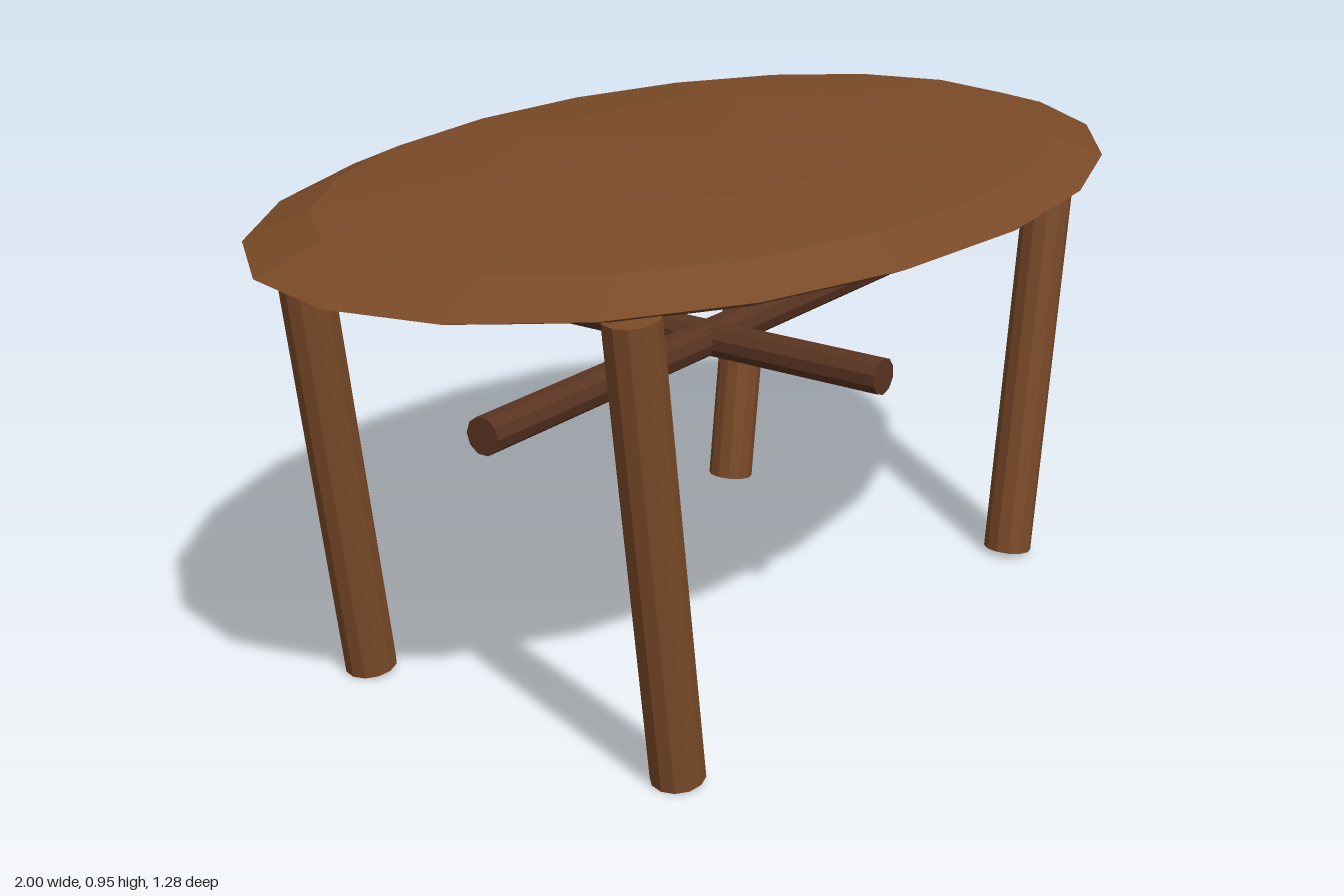
import * as THREE from 'three';

const wood = new THREE.MeshStandardMaterial({ color: 0x7a4a28, flatShading: true });
const darkWood = new THREE.MeshStandardMaterial({ color: 0x5a3421, flatShading: true });

// Cylinder running between two points
function rod(name, a, b, radius, sides, material) {
  const from = new THREE.Vector3(...a), to = new THREE.Vector3(...b);
  const dir = to.clone().sub(from);
  const mesh = new THREE.Mesh(new THREE.CylinderGeometry(radius, radius, dir.length(), sides), material);
  mesh.position.copy(from).add(to).multiplyScalar(0.5);
  mesh.quaternion.setFromUnitVectors(new THREE.Vector3(0, 1, 0), dir.normalize());
  mesh.name = name;
  return mesh;
}

export function createModel() {
  const table = new THREE.Group();
  table.name = 'ovalTable';

  // Flattened, faceted oval top
  const topGeometry = new THREE.SphereGeometry(1, 20, 6);
  topGeometry.scale(1, 0.077, 0.64);
  const top = new THREE.Mesh(topGeometry, wood);
  top.name = 'tableTop';
  top.position.y = 0.877;
  table.add(top);

  // Four legs leaning inward towards the floor
  for (const [sx, side] of [[1, 'Left'], [-1, 'Right']]) {
    for (const [sz, end] of [[1, 'front'], [-1, 'back']]) {
      table.add(rod(`${end}${side}Leg`, [sx * 0.587, 0.0065, sz * 0.357], [sx * 0.7, 0.853, sz * 0.357], 0.0485, 12, wood));
    }
  }

  // Crossed stretchers
  table.add(rod('longStretcher', [-0.65, 0.563, 0], [0.65, 0.563, 0], 0.035, 10, darkWood));
  table.add(rod('crossStretcher', [0, 0.563, -0.39], [0, 0.563, 0.39], 0.035, 10, darkWood));

  return table;
}
